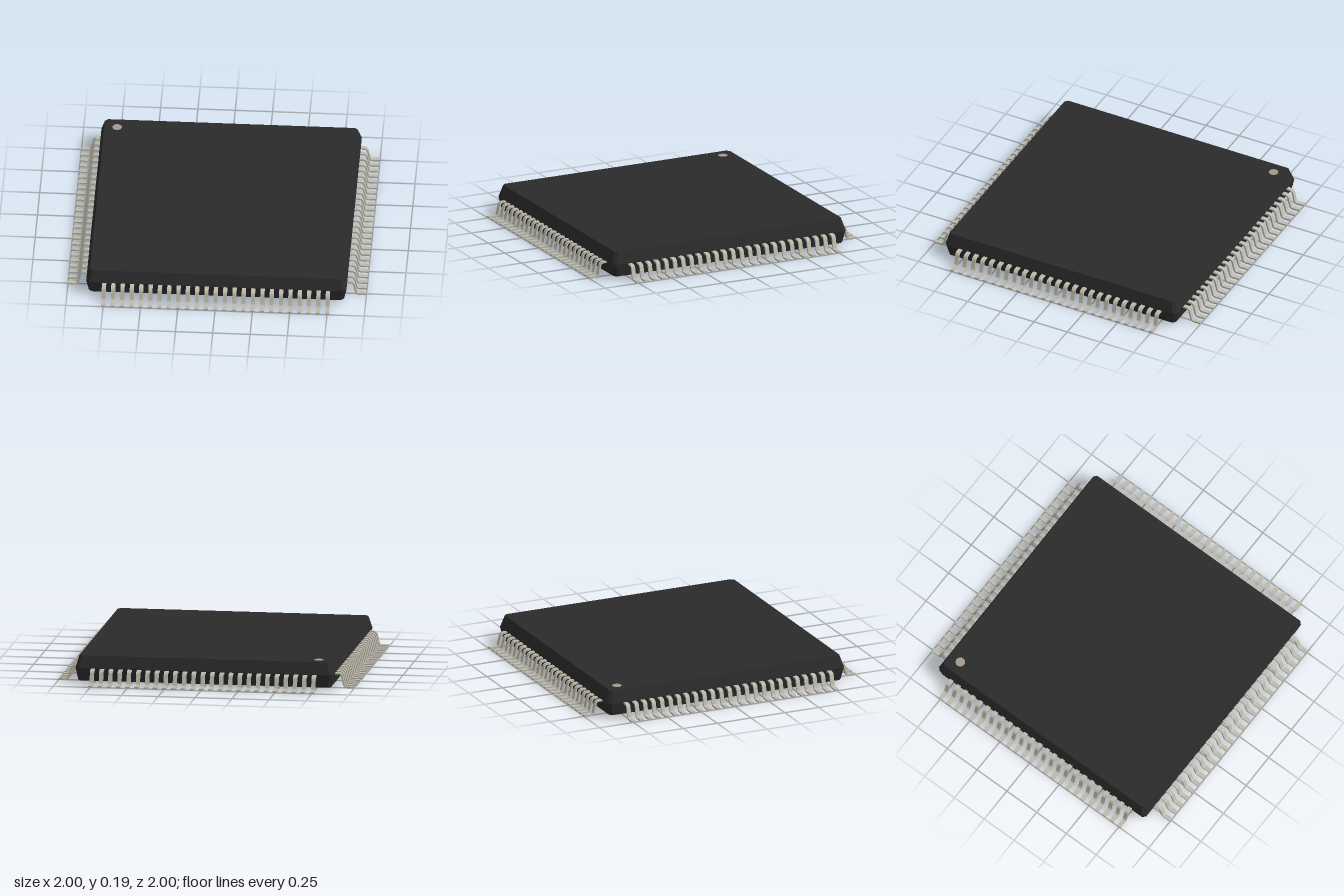
import * as THREE from 'three';
import { toCreasedNormals } from 'three/addons/utils/BufferGeometryUtils.js';
import { ConvexGeometry } from 'three/addons/geometries/ConvexGeometry.js';

const PINS = 25, PITCH = 0.0625, PIN_WIDTH = 0.028, PIN_THICK = 0.011;

// Square with clipped corners at height y
function clippedSquare(half, clip, y) {
  const k = half - clip;
  return [[half, k], [k, half], [-k, half], [-half, k], [-half, -k], [-k, -half], [k, -half], [half, -k]]
    .map(([x, z]) => new THREE.Vector3(x, y, z));
}

// Gull-wing pin pointing along +x: a bent centre line thickened to a strip
function pinGeometry() {
  const v = (x, y) => new THREE.Vector2(x, y);
  const path = new THREE.CurvePath();
  path.add(new THREE.LineCurve(v(0.84, 0.098), v(0.892, 0.098)));
  path.add(new THREE.QuadraticBezierCurve(v(0.892, 0.098), v(0.913, 0.098), v(0.917, 0.078)));
  path.add(new THREE.LineCurve(v(0.917, 0.078), v(0.929, 0.026)));
  path.add(new THREE.QuadraticBezierCurve(v(0.929, 0.026), v(0.933, 0.0055), v(0.953, 0.0055)));
  path.add(new THREE.LineCurve(v(0.953, 0.0055), v(1, 0.0055)));

  const upper = [], lower = [];
  path.curves.forEach((curve, c) => {
    const steps = c % 2 ? 6 : 1;
    for (let i = c ? 1 : 0; i <= steps; i++) {
      const p = curve.getPoint(i / steps), t = curve.getTangent(i / steps);
      const n = v(-t.y, t.x).multiplyScalar(PIN_THICK / 2);
      upper.push(p.clone().add(n));
      lower.push(p.clone().sub(n));
    }
  });
  const geo = new THREE.ExtrudeGeometry(new THREE.Shape([...lower, ...upper.reverse()]),
    { depth: PIN_WIDTH, bevelEnabled: false });
  geo.translate(0, 0, -PIN_WIDTH / 2);
  return toCreasedNormals(geo, 0.6);
}

export function createModel() {
  const model = new THREE.Group();
  model.name = 'chipPackage';
  const plastic = new THREE.MeshStandardMaterial({ color: 0x2b2b2b });
  const metal = new THREE.MeshStandardMaterial({ color: 0xbdbaac });
  const markColor = new THREE.MeshStandardMaterial({ color: 0xa39a8a });

  // Moulded body, widest at the parting line
  const body = new THREE.Mesh(new ConvexGeometry([
    ...clippedSquare(0.855, 0.02, 0.018),
    ...clippedSquare(0.872, 0.02, 0.105),
    ...clippedSquare(0.848, 0.02, 0.188),
  ]), plastic);
  body.name = 'body';
  model.add(body);

  // Round mark beside the first pin
  const mark = new THREE.Mesh(new THREE.CylinderGeometry(0.032, 0.032, 0.004, 32), markColor);
  mark.name = 'pinOneMark';
  mark.position.set(-0.762, 0.1875, -0.762);
  model.add(mark);

  // One row of pins on each of the four sides
  const geo = pinGeometry();
  ['left', 'back', 'right', 'front'].forEach((side, s) => {
    const row = new THREE.Group();
    row.name = side + 'PinRow';
    row.rotation.y = s * Math.PI / 2;
    for (let i = 0; i < PINS; i++) {
      const pin = new THREE.Mesh(geo, metal);
      pin.name = 'pin';
      pin.position.z = (i - (PINS - 1) / 2) * PITCH;
      row.add(pin);
    }
    model.add(row);
  });
  return model;
}
